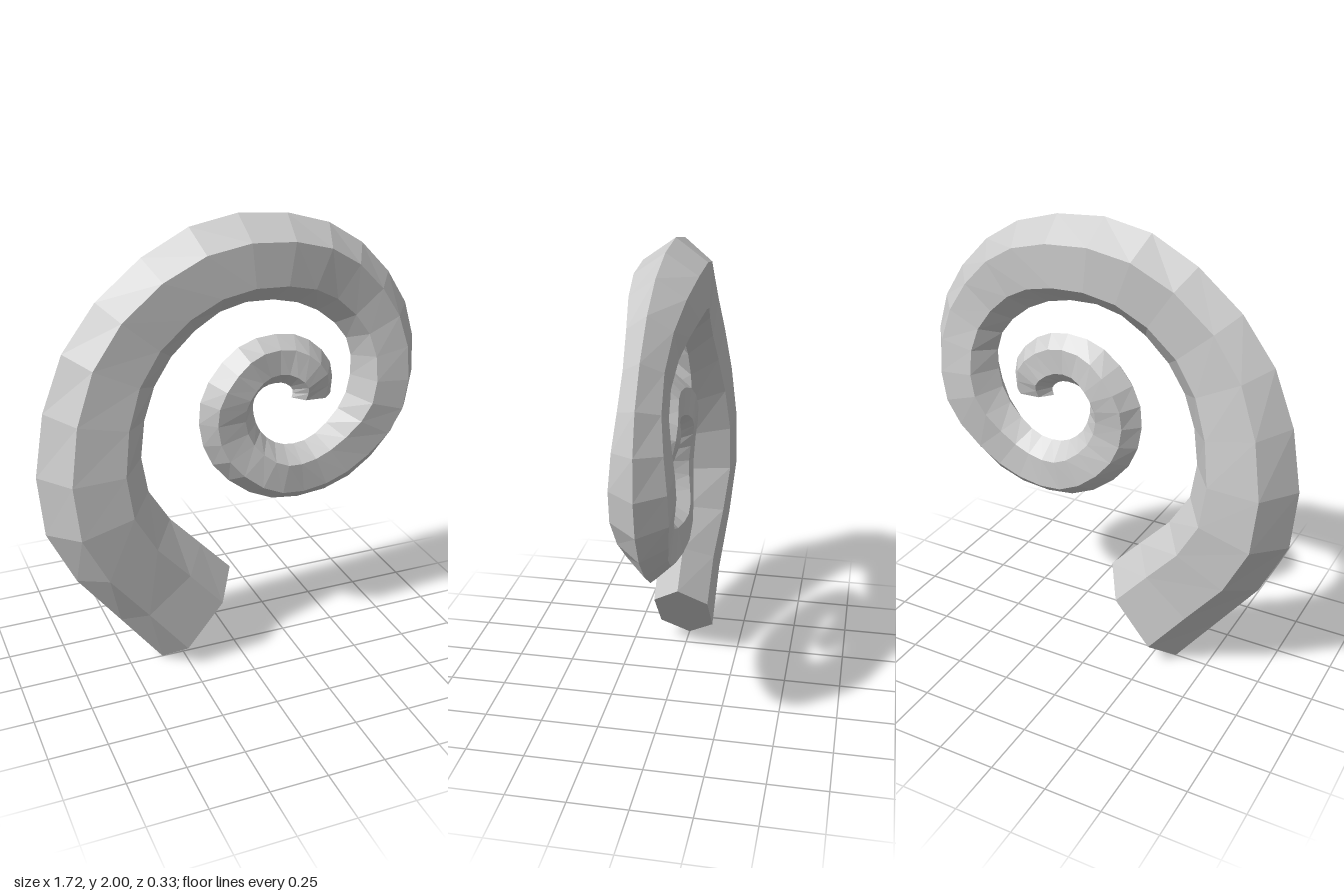
import * as THREE from 'three';

// Outer and inner rim of the spiral: every third station, from base to tip
const RIMS = [
  [-0.35, 0, -0.02, 0.4], [-0.84, 0.73, -0.39, 0.85], [-0.725, 1.51, -0.35, 1.32],
  [-0.19, 1.965, -0.06, 1.605], [0.42, 1.93, 0.285, 1.605], [0.8, 1.547, 0.52, 1.42],
  [0.83, 1.07, 0.53, 1.165], [0.563, 0.752, 0.385, 0.99], [0.183, 0.71, 0.235, 0.964],
  [-0.098, 0.922, 0.124, 1.043], [-0.151, 1.218, 0.087, 1.171], [0.019, 1.441, 0.135, 1.245],
  [0.272, 1.467, 0.22, 1.255], [0.447, 1.319, 0.272, 1.216], [0.447, 1.096, 0.262, 1.16],
];
const STATIONS = 42;

// Hexagon corners: fraction from outer to inner rim, and side in z
const HEXAGON = [[0, 0], [0.25, 1], [0.75, 1], [1, 0], [0.75, -1], [0.25, -1]];

function rimCurve(offset) {
  const points = RIMS.map((r) => new THREE.Vector3(r[offset], r[offset + 1], 0));
  return new THREE.CatmullRomCurve3(points, false, 'catmullrom', 0.5);
}

function hornGeometry() {
  const outer = rimCurve(0);
  const inner = rimCurve(2);
  const rings = [];
  for (let i = 0; i < STATIONS; i++) {
    const t = i / (3 * (RIMS.length - 1));
    const a = outer.getPoint(t);
    const b = inner.getPoint(t);
    // The thickness swells and narrows gently along the curl
    const swell = 0.3 + 0.06 * Math.cos((2 * Math.PI * (i - 3.5)) / 7);
    const half = a.distanceTo(b) * swell;
    rings.push(HEXAGON.map(([f, side]) => {
      const p = a.clone().lerp(b, f);
      p.z = side * half;
      return p;
    }));
  }

  const positions = [];
  const triangle = (...corners) => corners.forEach((p) => positions.push(p.x, p.y, p.z));

  // Side facets
  for (let i = 0; i < STATIONS - 1; i++) {
    for (let j = 0; j < 6; j++) {
      const k = (j + 1) % 6;
      triangle(rings[i][j], rings[i][k], rings[i + 1][k]);
      triangle(rings[i][j], rings[i + 1][k], rings[i + 1][j]);
    }
  }

  // Flat ends
  const first = rings[0];
  const last = rings[STATIONS - 1];
  for (let j = 1; j < 5; j++) {
    triangle(first[0], first[j + 1], first[j]);
    triangle(last[0], last[j], last[j + 1]);
  }

  const geometry = new THREE.BufferGeometry();
  geometry.setAttribute('position', new THREE.Float32BufferAttribute(positions, 3));
  geometry.computeVertexNormals();
  return geometry;
}

export function createModel() {
  const group = new THREE.Group();
  group.name = 'spiralHorn';
  const material = new THREE.MeshStandardMaterial({ color: 0xcccccc, flatShading: true });
  const horn = new THREE.Mesh(hornGeometry(), material);
  horn.name = 'horn';
  group.add(horn);
  return group;
}
